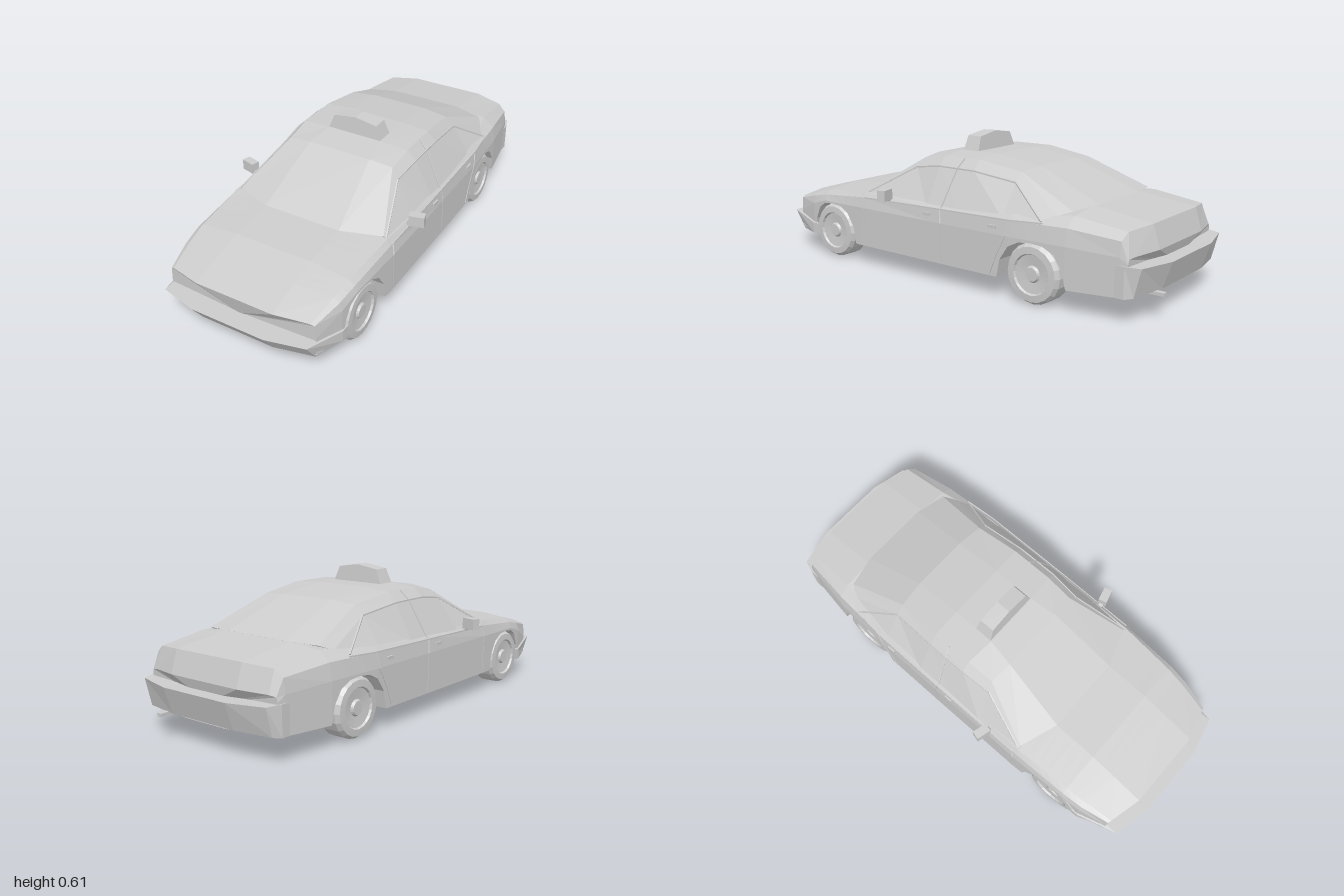
import * as THREE from 'three';

const grey = () => new THREE.MeshStandardMaterial({ color: 0xcccccc, flatShading: true });

function add(parent, name, geometry) {
  const mesh = new THREE.Mesh(geometry, grey());
  mesh.name = name;
  parent.add(mesh);
  return mesh;
}

// Skin between closed rings of [x, y, z] points, with capped ends
function loft(rings) {
  const n = rings[0].length, pos = rings.flat(2), idx = [];
  rings.slice(1).forEach((_, i) => {
    for (let j = 0; j < n; j++) {
      const a = i * n + j, b = i * n + (j + 1) % n, c = a + n, d = b + n;
      idx.push(a, c, b, b, c, d);
    }
  });
  [0, rings.length - 1].forEach((r, end) => {
    const mid = [0, 1, 2].map(k => rings[r].reduce((s, p) => s + p[k], 0) / n);
    const m = pos.length / 3;
    pos.push(...mid);
    for (let j = 0; j < n; j++) {
      const a = r * n + j, b = r * n + (j + 1) % n;
      idx.push(m, end ? b : a, end ? a : b);
    }
  });
  const g = new THREE.BufferGeometry();
  g.setAttribute('position', new THREE.Float32BufferAttribute(pos, 3));
  g.setIndex(idx);
  const flat = g.toNonIndexed();
  flat.computeVertexNormals();
  return flat;
}

const flip = ([x, y, z]) => [-x, y, z];
const mirrorRing = half => [...half, ...half.slice().reverse().map(flip)];

// Thin bar between two points
function bar(parent, name, a, b, t = 0.006) {
  const A = new THREE.Vector3(...a), B = new THREE.Vector3(...b);
  const mesh = add(parent, name, new THREE.BoxGeometry(t, t, A.distanceTo(B)));
  mesh.position.copy(A).lerp(B, 0.5);
  mesh.lookAt(B);
}

const WHEELS = [0.63, -0.505];
const ARCH = [[0, 0.255], [0.055, 0.25], [0.105, 0.225], [0.145, 0.165], [0.16, 0.09]];

// z, half width, floor y, crease y, shoulder x, shoulder y, deck edge x, deck edge y, centre y
const STATIONS = [
  [0.945, 0.345, 0.1, 0.18, 0.34, 0.24, 0.325, 0.247, 0.256],
  [0.8, 0.38, 0.09, 0.235, 0.37, 0.27, 0.345, 0.285, 0.297],
  [0.68, 0.39, 0.09, 0.262, 0.38, 0.29, 0.355, 0.31, 0.325],
  [0.42, 0.4, 0.09, 0.265, 0.39, 0.312, 0.372, 0.335, 0.347],
  [0, 0.4, 0.09, 0.265, 0.393, 0.322, 0.375, 0.338, 0.345],
  [-0.4, 0.398, 0.09, 0.265, 0.39, 0.33, 0.37, 0.35, 0.36],
  [-0.66, 0.385, 0.095, 0.265, 0.373, 0.335, 0.32, 0.374, 0.39],
  [-0.92, 0.352, 0.1, 0.255, 0.345, 0.315, 0.31, 0.345, 0.356],
  [-0.95, 0.345, 0.1, 0.23, 0.34, 0.25, 0.31, 0.255, 0.26],
];

function stationAt(z) {
  const i = Math.max(1, STATIONS.findIndex(s => s[0] <= z));
  const a = STATIONS[i - 1], b = STATIONS[i], t = (z - a[0]) / (b[0] - a[0]);
  return a.map((v, k) => v + (b[k] - v) * t);
}

function archHeight(z, floor) {
  for (const c of WHEELS) {
    const d = Math.abs(z - c), i = ARCH.findIndex(p => p[0] >= d - 1e-6);
    if (i === 0) return ARCH[0][1];
    if (i > 0) {
      const [d0, y0] = ARCH[i - 1], [d1, y1] = ARCH[i];
      return Math.max(floor, y0 + (y1 - y0) * (d - d0) / (d1 - d0));
    }
  }
  return floor;
}

// Lower shell with wheel wells; ends sweep back toward the corners
function bodyGeometry() {
  const zs = STATIONS.map(s => s[0]);
  WHEELS.forEach(c => ARCH.forEach(([d]) => zs.push(c + d, c - d)));
  const sorted = [...new Set(zs.map(z => +z.toFixed(4)))].sort((a, b) => b - a);
  return loft(sorted.map(z => {
    const [, w, floor, yc, sx, sy, dx, dy, top] = stationAt(z);
    const a = archHeight(z, floor);
    const k = Math.min(1, Math.max(0, (Math.abs(z) - 0.7) / 0.2));
    const half = [[0.1, floor], [0.27, floor], [0.27, a], [w, a], [w, yc], [sx, sy], [dx, dy], [0.18, top]];
    return mirrorRing(half.map(([x, y]) =>
      [x, y, z - Math.sign(z) * k * 0.25 * Math.max(0, x - 0.18)]));
  }));
}

// Each section: base, mid, roof edge, roof top
const CABIN = [
  [[0.37, 0.32, 0.41], [0.364, 0.335, 0.41], [0.355, 0.342, 0.415], [0.18, 0.345, 0.475]],
  [[0.385, 0.32, 0.2], [0.29, 0.465, 0.18], [0.255, 0.503, 0.165], [0.15, 0.515, 0.175]],
  [[0.386, 0.32, 0.04], [0.3, 0.485, 0.04], [0.26, 0.525, 0.04], [0.13, 0.535, 0.05]],
  [[0.386, 0.325, -0.15], [0.3, 0.485, -0.15], [0.26, 0.527, -0.15], [0.13, 0.536, -0.15]],
  [[0.382, 0.33, -0.36], [0.29, 0.46, -0.36], [0.25, 0.498, -0.36], [0.13, 0.508, -0.37]],
  [[0.37, 0.34, -0.54], [0.335, 0.365, -0.59], [0.3, 0.384, -0.64], [0.16, 0.39, -0.67]],
];

// Bumper sections across the car: x, outer z, top y, lower z, bottom y, inner z
function bumper(rows, front) {
  const ring = ([x, zo, yt, zl, yb, zi]) => front
    ? [[x, yb, zl], [x, yb, zi], [x, yt, zi], [x, yt, zo]]
    : [[x, yb, zi], [x, yb, zl], [x, yt, zo], [x, yt, zi]];
  const rings = rows.map(ring);
  return loft([...rings, ...rings.slice().reverse().map(r => r.map(flip))]);
}

function wheel(parent, name, side, z) {
  const g = new THREE.Group();
  g.name = name;
  const profile = [[0, -0.05], [0.115, -0.05], [0.125, -0.04], [0.125, 0.035], [0.113, 0.052],
    [0.085, 0.054], [0.08, 0.045], [0.035, 0.04], [0.028, 0.05], [0, 0.05]];
  add(g, 'tyreAndRim', new THREE.LatheGeometry(profile.map(p => new THREE.Vector2(...p)), 20));
  g.rotation.z = -side * Math.PI / 2;
  g.position.set(side * 0.333, 0.126, z);
  parent.add(g);
}

function roofSign() {
  const s = new THREE.Shape([[-0.13, 0], [0.13, 0], [0.105, 0.064], [0, 0.079], [-0.105, 0.064]]
    .map(p => new THREE.Vector2(...p)));
  const g = new THREE.ExtrudeGeometry(s, { depth: 0.084, bevelEnabled: false });
  g.translate(0, 0, -0.042);
  const p = g.attributes.position;
  for (let i = 0; i < p.count; i++) p.setZ(i, p.getZ(i) * (1 - p.getY(i) * 2.6));
  g.computeVertexNormals();
  return g;
}

export function createModel() {
  const car = new THREE.Group();
  car.name = 'taxi';
  add(car, 'body', bodyGeometry());
  add(car, 'cabin', loft(CABIN.map(mirrorRing)));

  add(car, 'frontBumper', bumper([
    [0.385, 0.78, 0.14, 0.78, 0.09, 0.74], [0.338, 0.96, 0.17, 0.9, 0.085, 0.85],
    [0.17, 1, 0.17, 0.94, 0.085, 0.88]], true));
  add(car, 'rearBumper', bumper([
    [0.356, -0.9, 0.225, -0.9, 0.1, -0.86], [0.335, -0.96, 0.223, -0.93, 0.105, -0.88],
    [0.17, -1, 0.22, -0.962, 0.108, -0.9]], false));

  add(car, 'roofSign', roofSign()).position.set(0, 0.533, 0.005);
  add(car, 'exhaustPipe', new THREE.BoxGeometry(0.022, 0.014, 0.13)).position.set(0.21, 0.102, -0.93);

  for (const side of [1, -1]) {
    const label = side > 0 ? 'left' : 'right';
    const m = ([x, y, z]) => [x * side, y, z];
    const trim = (name, ...pts) => pts.slice(1).forEach((p, i) => bar(car, label + name, m(pts[i]), m(p)));
    WHEELS.forEach((z, i) => wheel(car, label + (i ? 'RearWheel' : 'FrontWheel'), side, z));

    // Door seams and window frames
    trim('FrontDoorSeam', [0.389, 0.315, 0.4], [0.399, 0.265, 0.41], [0.399, 0.1, 0.4]);
    trim('MiddleDoorSeam', [0.391, 0.322, -0.04], [0.399, 0.265, -0.045], [0.399, 0.1, -0.05]);
    trim('RearDoorSeam', [0.389, 0.33, -0.4], [0.397, 0.265, -0.385], [0.398, 0.18, -0.34], [0.399, 0.1, -0.31]);
    trim('BeltLine', [0.39, 0.312, 0.41], [0.391, 0.322, 0], [0.389, 0.33, -0.4], [0.376, 0.337, -0.55]);
    trim('CentrePillar', [0.386, 0.325, -0.04], [0.3, 0.485, -0.06], [0.262, 0.525, -0.07]);
    trim('RearPillar', [0.29, 0.46, -0.36], [0.37, 0.342, -0.54]);
    trim('WindowTop', CABIN[0][1], CABIN[1][1], CABIN[2][1], CABIN[3][1], CABIN[4][1]);
    for (const z of [0.03, -0.32]) {
      add(car, label + 'DoorHandle', new THREE.BoxGeometry(0.008, 0.014, 0.04))
        .position.set(side * 0.398, 0.295, z);
    }

    // Wing mirror
    const mirror = add(car, label + 'Mirror', new THREE.BoxGeometry(0.066, 0.048, 0.038));
    mirror.position.set(side * 0.422, 0.351, 0.253);
    mirror.rotation.y = side * 0.25;
    bar(car, label + 'MirrorArm', m([0.375, 0.315, 0.26]), m([0.4, 0.335, 0.26]), 0.018);
  }
  return car;
}
